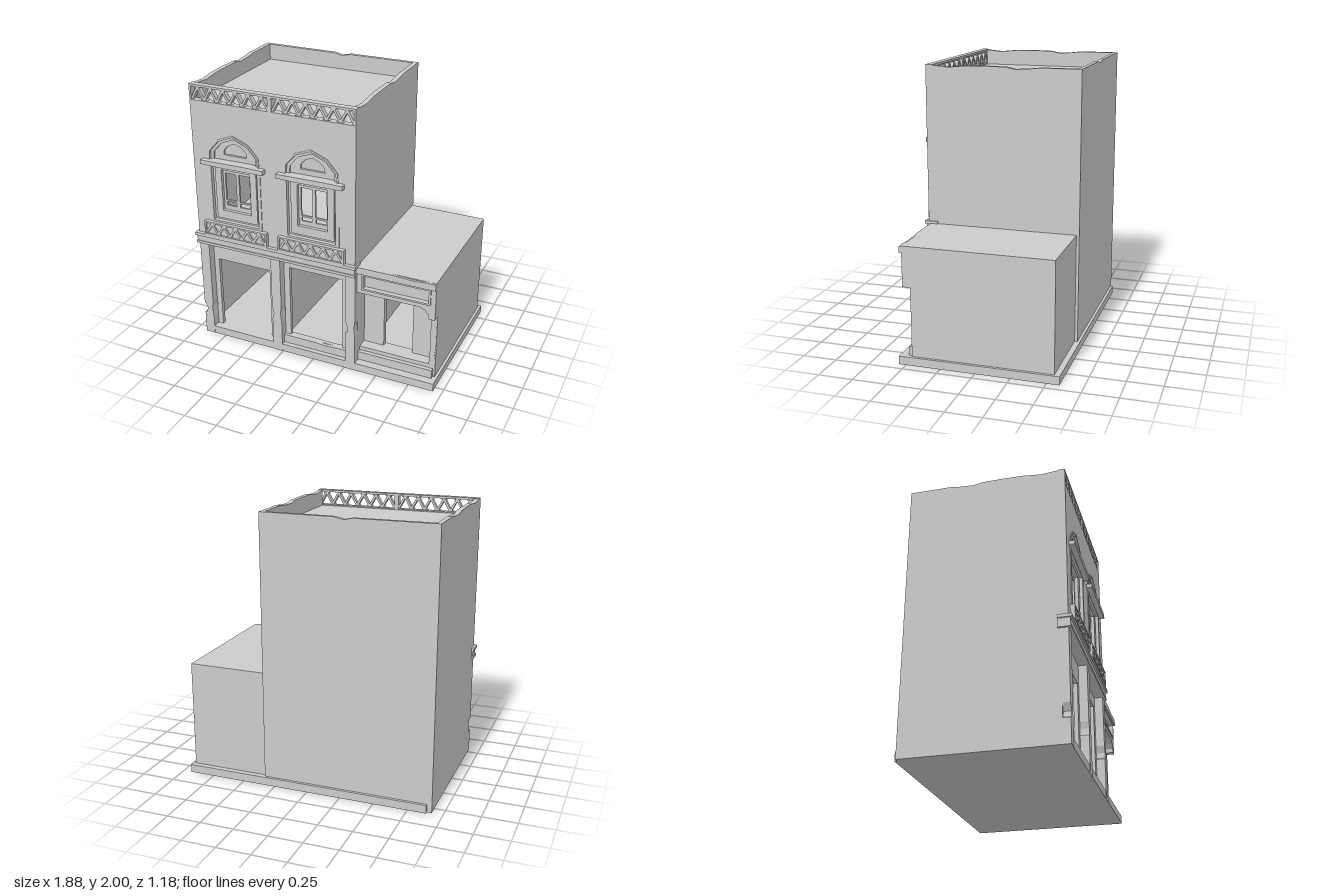
import * as THREE from 'three';

const material = new THREE.MeshStandardMaterial({ color: 0xcccccc, flatShading: true });

export function createModel() {
  const root = new THREE.Group();
  let target = root;

  const add = (name, geometry) => {
    const mesh = new THREE.Mesh(geometry, material);
    mesh.name = name;
    target.add(mesh);
    return mesh;
  };
  // Axis-aligned box from its limits
  const box = (name, x0, x1, y0, y1, z0, z1) => {
    const m = add(name, new THREE.BoxGeometry(x1 - x0, y1 - y0, z1 - z0));
    m.position.set((x0 + x1) / 2, (y0 + y1) / 2, (z0 + z1) / 2);
    return m;
  };
  const rect = (x0, x1, y0, y1) => [[x0, y0], [x1, y0], [x1, y1], [x0, y1]];
  const toPoints = (pts) => pts.map(([x, y]) => new THREE.Vector2(x, y));
  // Upright slab with an outline and holes, running from z0 to z1
  const panel = (name, outline, holes, z0, z1) => {
    const shape = new THREE.Shape(toPoints(outline));
    holes.forEach((h) => shape.holes.push(new THREE.Path(toPoints(h))));
    const geo = new THREE.ExtrudeGeometry(shape, { depth: z1 - z0, bevelEnabled: false });
    return add(name, geo.translate(0, 0, z0));
  };
  // Slab facing sideways; its outline is given as (z, y)
  const sidePanel = (name, outline, x0, x1) => {
    const m = panel(name, outline.map(([z, y]) => [-z, y]), [], x0, x1);
    m.rotation.y = Math.PI / 2;
    return m;
  };
  // Thin slanted bar between two points of a front panel
  const bar = (name, x0, y0, x1, y1, w, z0, z1) => {
    const m = add(name, new THREE.BoxGeometry(Math.hypot(x1 - x0, y1 - y0), w, z1 - z0));
    m.position.set((x0 + x1) / 2, (y0 + y1) / 2, (z0 + z1) / 2);
    m.rotation.z = Math.atan2(y1 - y0, x1 - x0);
  };
  // Zigzag lattice with small blocks at its peaks and valleys
  const lattice = (name, x0, x1, y0, y1, n, z0, z1) => {
    const step = (x1 - x0) / (2 * n);
    for (let i = 0; i < 2 * n; i++) {
      const a = i % 2 ? y1 : y0, b = i % 2 ? y0 : y1;
      bar(name, x0 + i * step, a, x0 + (i + 1) * step, b, 0.016, z0, z1);
      if (i) {
        const s = i % 2 ? -0.02 : 0.02;
        const x = x0 + i * step;
        panel(name + 'Joint', i % 2
          ? [[x - 0.025, a], [x, a + s], [x + 0.025, a]]
          : [[x - 0.025, a], [x + 0.025, a], [x, a + s]], [], z0, z1);
      }
    }
  };
  const group = (name, build) => {
    const g = new THREE.Group();
    g.name = name;
    root.add(g);
    target = g;
    build();
    target = root;
  };

  box('baseSlab', -0.885, 0.935, 0, 0.06, -0.59, 0.55);
  box('baseSlabEdge', -0.92, -0.885, 0, 0.06, -0.57, 0.55);

  const windows = [-0.595, 0.005];
  const arch = (cx, s, y = 1.465) => [[-0.205, 0], [0.205, 0], [0.2, 0.07], [0.125, 0.155],
    [0, 0.205], [-0.125, 0.155], [-0.2, 0.07]].map(([x, h]) => [cx + x * s, y + h * s]);
  const parapetHoles = [[-0.905, -0.31], [-0.28, 0.32]];

  group('tower', () => {
    // Side and back walls with worn top edges
    const sideOutline = [[0.5, 0.06], [0.5, 1.995], [0.38, 1.985], [0.25, 1.998], [0.1, 2],
      [-0.04, 1.998], [-0.1, 1.985], [-0.2, 1.99], [-0.28, 2], [-0.57, 2], [-0.57, 0.06]].reverse();
    sidePanel('leftWall', sideOutline, -0.92, -0.885);
    sidePanel('rightWall', sideOutline, 0.3, 0.335);
    panel('backWall', [[-0.885, 0.06], [0.3, 0.06], [0.3, 2], [-0.2, 2], [-0.27, 1.985],
      [-0.33, 1.998], [-0.885, 2]], [], -0.57, -0.54);
    box('roof', -0.885, 0.3, 1.85, 1.88, -0.54, 0.5);
    box('upperFloor', -0.885, 0.3, 0.82, 0.85, -0.54, 0.5);
    box('partition', -0.31, -0.28, 0.06, 0.82, -0.54, 0.46);

    // Upper front with window, arch and parapet openings
    const holes = parapetHoles.map(([a, b]) => rect(a, b, 1.888, 1.985));
    windows.forEach((cx) => {
      holes.push(rect(cx - 0.195, cx + 0.195, 0.985, 1.43));
      holes.push(arch(cx, 0.93));
    });
    panel('upperFront', [[-0.92, 0.78], [0.335, 0.78], [0.335, 2], [-0.92, 2]], holes, 0.5, 0.55);
    parapetHoles.forEach(([a, b]) => lattice('parapetLattice', a, b, 1.892, 1.981, 6, 0.507, 0.543));
  });

  group('windows', () => windows.forEach((cx) => {
    // Stepped surround and recessed frame
    panel('windowSurround', rect(cx - 0.21, cx + 0.21, 0.975, 1.43),
      [rect(cx - 0.185, cx + 0.185, 0.995, 1.425)], 0.5, 0.555);
    panel('windowRecess', rect(cx - 0.195, cx + 0.195, 0.985, 1.43),
      [rect(cx - 0.115, cx + 0.115, 1.075, 1.39)], 0.5, 0.525);
    panel('windowFrame', rect(cx - 0.165, cx + 0.165, 1.01, 1.43),
      [rect(cx - 0.115, cx + 0.115, 1.075, 1.39)], 0.525, 0.535);
    // Sash with two tall panes and two small lower ones
    const panes = [-1, 1].flatMap((s) => {
      const a = cx + s * 0.055;
      return [rect(a - 0.043, a + 0.043, 1.15, 1.36), rect(a - 0.04, a + 0.04, 1.108, 1.138)];
    });
    panel('sash', rect(cx - 0.115, cx + 0.115, 1.075, 1.39), panes, 0.495, 0.51);
    // Cornice and arched head
    panel('cornice', [[cx - 0.25, 1.435], [cx - 0.1, 1.43], [cx + 0.25, 1.432], [cx + 0.25, 1.465],
      [cx + 0.1, 1.468], [cx - 0.248, 1.465]], [], 0.5, 0.592);
    panel('archMoulding', arch(cx, 1), [arch(cx, 0.93)], 0.5, 0.555);
    panel('archInnerMoulding', arch(cx, 0.93), [arch(cx, 0.82)], 0.5, 0.535);
    panel('archPanel', arch(cx, 0.82), [arch(cx, 0.45, 1.505)], 0.5, 0.522);
    panel('lunette', arch(cx, 0.45, 1.505), [], 0.495, 0.505);
    // Balcony box with a framed lattice in shallow relief
    const x0 = cx - 0.255, x1 = cx + 0.255;
    box('balconyBack', x0, x1, 0.87, 0.98, 0.54, 0.568);
    panel('balconyFrame', rect(x0, x1, 0.87, 0.98),
      [rect(x0 + 0.012, x1 - 0.012, 0.882, 0.968)], 0.568, 0.582);
    lattice('balconyLattice', x0 + 0.012, x1 - 0.012, 0.886, 0.964, 5, 0.565, 0.578);
  }));

  group('shopFront', () => {
    // Ledge above the ground floor
    box('ledgeLower', -0.935, 0.34, 0.78, 0.8, 0.48, 0.57);
    box('ledgeMiddle', -0.93, 0.335, 0.8, 0.845, 0.48, 0.565);
    box('ledgeUpper', -0.94, 0.345, 0.845, 0.868, 0.48, 0.578);
    // Pilasters with chipped edges
    [-0.92, -0.33, 0.26].forEach((x, i) => {
      const a = x, b = x + 0.075, y = [0.2, 0.3, 0.33][i], d = [0.025, 0.012, 0.018][i];
      panel('pilaster', [[a, 0], [b, 0], [b, y - 0.05], [b - 0.008, y + 0.03], [b, y + 0.08],
        [b, 0.78], [a, 0.78], [a, y + 0.07], [a + d, y + 0.02], [a + d * 0.7, y - 0.02], [a, y - 0.03]],
      [], 0.46, 0.552);
    });
    // Recessed bays with open doorways
    panel('leftBay', rect(-0.845, -0.33, 0.05, 0.78), [rect(-0.805, -0.375, 0.06, 0.63)], 0.46, 0.49);
    panel('middleBay', rect(-0.255, 0.26, 0.05, 0.78), [rect(-0.21, 0.21, 0.122, 0.695)], 0.46, 0.49);
    panel('doorStep', [[-0.255, 0.05], [0.26, 0.05], [0.26, 0.122], [0.2, 0.125], [0.08, 0.118],
      [0, 0.125], [-0.255, 0.125]], [], 0.46, 0.515);
  });

  group('annex', () => {
    box('annexRightWall', 0.88, 0.915, 0.06, 0.85, -0.55, 0.46);
    box('annexBackWall', 0.335, 0.88, 0.06, 0.85, -0.55, -0.52);
    box('annexRoof', 0.335, 0.88, 0.82, 0.85, -0.52, 0.46);
    // Set-back entrance wall
    panel('entranceWall', rect(0.335, 0.88, 0.06, 0.82), [rect(0.49, 0.71, 0.155, 0.61)], 0.34, 0.38);
    // Sill and corner post with a worn inner edge
    box('sillLower', 0.335, 0.9, 0.06, 0.125, 0.38, 0.49);
    box('sillUpper', 0.335, 0.87, 0.125, 0.155, 0.38, 0.46);
    panel('cornerPost', [[0.87, 0.06], [0.912, 0.06], [0.912, 0.2], [0.904, 0.24], [0.912, 0.3],
      [0.912, 0.56], [0.868, 0.56], [0.872, 0.3], [0.866, 0.2]], [], 0.4, 0.462);
    // Fascia with rounded corner drop and framed sign recess
    panel('fascia', [[0.335, 0.64], [0.8, 0.64], [0.84, 0.625], [0.868, 0.59], [0.87, 0.56],
      [0.915, 0.56], [0.915, 0.85], [0.335, 0.85]], [rect(0.385, 0.865, 0.685, 0.785)], 0.46, 0.518);
    box('signBack', 0.375, 0.875, 0.675, 0.795, 0.455, 0.49);
    panel('signFrame', rect(0.37, 0.88, 0.672, 0.797), [rect(0.385, 0.865, 0.685, 0.785)], 0.51, 0.526);
    panel('annexCornice', [[0.335, 0.8], [0.915, 0.8], [0.915, 0.845], [0.87, 0.85], [0.75, 0.842],
      [0.6, 0.85], [0.335, 0.85]], [], 0.46, 0.535);
  });

  return root;
}
